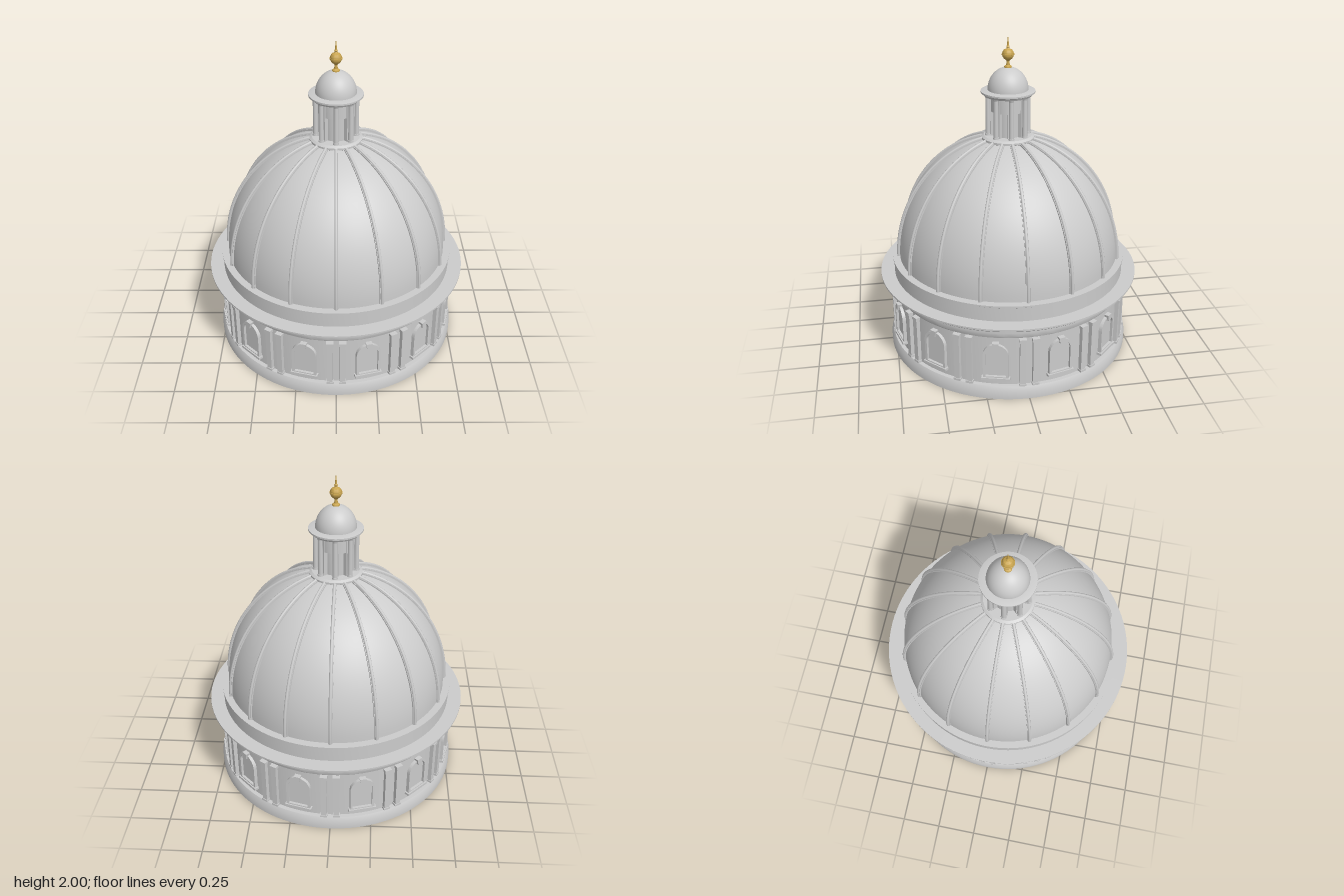
import * as THREE from 'three';
import { toCreasedNormals } from 'three/addons/utils/BufferGeometryUtils.js';

const stone = new THREE.MeshStandardMaterial({ color: 0xcccccc });
const gold = new THREE.MeshStandardMaterial({ color: 0xc9a550 });

const DOME_Y = 0.61, DOME_R = 0.7, DOME_H = 0.775, DOME_END = 1.39;

function mesh(name, geometry, parent, material = stone) {
  const m = new THREE.Mesh(geometry, material);
  m.name = name;
  parent.add(m);
  return m;
}

// Turned part from [radius, y] pairs listed bottom to top
function turned(name, profile, parent, segments = 96, material = stone) {
  const points = profile.map(([r, y]) => new THREE.Vector2(r, y));
  return mesh(name, toCreasedNormals(new THREE.LatheGeometry(points, segments), 0.5), parent, material);
}

// Calls build(group) for copies spaced evenly round the axis, +z side outward
function around(name, count, offset, parent, build) {
  for (let i = 0; i < count; i++) {
    const g = new THREE.Group();
    g.name = name;
    g.rotation.y = offset + (i / count) * Math.PI * 2;
    build(g);
    parent.add(g);
  }
}

function box(name, w, h, d, x, y, z, parent) {
  mesh(name, new THREE.BoxGeometry(w, h, d), parent).position.set(x, y, z);
}

// Points on the dome's elliptical section, pushed outward by an offset
function domeSection(offset, last = 0.45 * Math.PI, steps = 28) {
  return Array.from({ length: steps + 1 }, (_, i) => {
    const a = (i / steps) * last;
    return new THREE.Vector2((DOME_R + offset) * Math.cos(a), DOME_Y + (DOME_H + offset) * Math.sin(a));
  });
}

// Round-headed outline: half width w, from y0 up to spring line y1
function arch(path, w, y0, y1) {
  path.moveTo(-w, y0);
  path.lineTo(w, y0);
  path.lineTo(w, y1);
  path.absarc(0, y1, w, 0, Math.PI, false);
  path.lineTo(-w, y0);
  return path;
}

function buildDrum(root) {
  const drum = new THREE.Group();
  drum.name = 'drum';
  root.add(drum);
  turned('plinth', [[0, 0], [0.78, 0], [0.78, 0.05], [0.765, 0.08], [0.74, 0.08]], drum);
  turned('drumWall', [[0.74, 0.07], [0.74, 0.41]], drum);
  turned('cornice', [[0.74, 0.4], [0.745, 0.41], [0.745, 0.435], [0.755, 0.44], [0.755, 0.458],
    [0.775, 0.464], [0.8, 0.48], [0.812, 0.49], [0.812, 0.496], [0.825, 0.5], [0.825, 0.51], [0.73, 0.51]], drum);
  turned('attic', [[0.738, 0.505], [0.738, 0.598], [0.744, 0.602], [0.744, 0.613], [0.68, 0.613]], drum);

  // Paired pilasters
  around('pilasterPair', 12, 0, drum, (g) => {
    for (const side of [-1, 1]) {
      const p = new THREE.Group();
      p.name = 'pilaster';
      p.rotation.y = side * 0.051;
      box('shaft', 0.034, 0.31, 0.04, 0, 0.235, 0.744, p);
      box('base', 0.042, 0.014, 0.048, 0, 0.087, 0.744, p);
      box('capital', 0.044, 0.02, 0.05, 0, 0.39, 0.744, p);
      g.add(p);
    }
  });

  // Arched windows with sill, frame and keystone
  const frameShape = arch(new THREE.Shape(), 0.076, 0.13, 0.285);
  frameShape.holes.push(arch(new THREE.Path(), 0.061, 0.142, 0.285));
  const frame = toCreasedNormals(
    new THREE.ExtrudeGeometry(frameShape, { depth: 0.03, bevelEnabled: false, curveSegments: 16 }), 0.5);
  const pane = new THREE.ShapeGeometry(arch(new THREE.Shape(), 0.065, 0.135, 0.285), 16);
  const keyShape = new THREE.Shape([[-0.012, 0.335], [0.012, 0.335], [0.02, 0.375], [-0.02, 0.375]]
    .map(([x, y]) => new THREE.Vector2(x, y)));
  const key = new THREE.ExtrudeGeometry(keyShape, { depth: 0.04, bevelEnabled: false });
  around('window', 12, Math.PI / 12, drum, (g) => {
    mesh('frame', frame, g).position.z = 0.728;
    mesh('pane', pane, g).position.z = 0.742;
    mesh('keystone', key, g).position.z = 0.728;
    box('sill', 0.17, 0.016, 0.04, 0, 0.127, 0.746, g);
  });
}

function buildDome(root) {
  const dome = new THREE.Group();
  dome.name = 'dome';
  root.add(dome);
  mesh('domeShell', new THREE.LatheGeometry(domeSection(0, Math.PI / 2), 96), dome);

  // Ribs: a flat band with a round bead on top
  const bandShape = new THREE.Shape([...domeSection(0.008), ...domeSection(-0.02).reverse()]);
  const band = new THREE.ExtrudeGeometry(bandShape, { depth: 0.028, bevelEnabled: false });
  band.translate(0, 0, -0.014);
  const path = new THREE.CatmullRomCurve3(domeSection(0.008).map((p) => new THREE.Vector3(p.x, p.y, 0)));
  const bead = new THREE.TubeGeometry(path, 40, 0.01, 8);
  const bandSmooth = toCreasedNormals(band, 0.5);
  around('rib', 16, 0, dome, (g) => {
    mesh('ribBand', bandSmooth, g);
    mesh('ribBead', bead, g);
  });
}

function buildLantern(root) {
  const lantern = new THREE.Group();
  lantern.name = 'lantern';
  root.add(lantern);
  turned('lanternBase', [[0.15, 1.345], [0.155, 1.365], [0.163, 1.37], [0.163, 1.382], [0.148, 1.392], [0, 1.392]], lantern, 48);
  turned('lanternCore', [[0.088, 1.38], [0.088, 1.65]], lantern, 48);
  turned('lanternFrieze', [[0.088, 1.545], [0.108, 1.545], [0.108, 1.65]], lantern, 48);

  // Piers with engaged columns between the openings
  around('lanternBay', 8, 0, lantern, (g) => {
    box('pier', 0.036, 0.25, 0.04, 0, 1.515, 0.092, g);
    mesh('column', new THREE.CylinderGeometry(0.014, 0.016, 0.26, 12), g).position.set(0, 1.515, 0.124);
    mesh('columnBase', new THREE.CylinderGeometry(0.018, 0.019, 0.012, 12), g).position.set(0, 1.397, 0.124);
    mesh('columnCapital', new THREE.CylinderGeometry(0.019, 0.015, 0.014, 12), g).position.set(0, 1.635, 0.124);
  });

  turned('lanternCornice', [[0.08, 1.64], [0.145, 1.64], [0.152, 1.652], [0.165, 1.658], [0.165, 1.668],
    [0.135, 1.674], [0.1, 1.674]], lantern, 48);
  const cap = mesh('cupola', new THREE.SphereGeometry(0.124, 48, 16, 0, Math.PI * 2, 0, Math.PI / 2), lantern);
  cap.scale.y = 1.13;
  cap.position.y = 1.67;

  // Gilded finial
  turned('finial', [[0.024, 1.8], [0.022, 1.815], [0.011, 1.822], [0.009, 1.845], [0.014, 1.852], [0.026, 1.861],
    [0.033, 1.873], [0.035, 1.882], [0.038, 1.883], [0.038, 1.889], [0.035, 1.89], [0.033, 1.9], [0.025, 1.912],
    [0.011, 1.919], [0.007, 1.925], [0.011, 1.931], [0.006, 1.938], [0.004, 1.965], [0, 2]], lantern, 24, gold);
}

export function createModel() {
  const root = new THREE.Group();
  root.name = 'ribbedDome';
  buildDrum(root);
  buildDome(root);
  buildLantern(root);
  return root;
}
